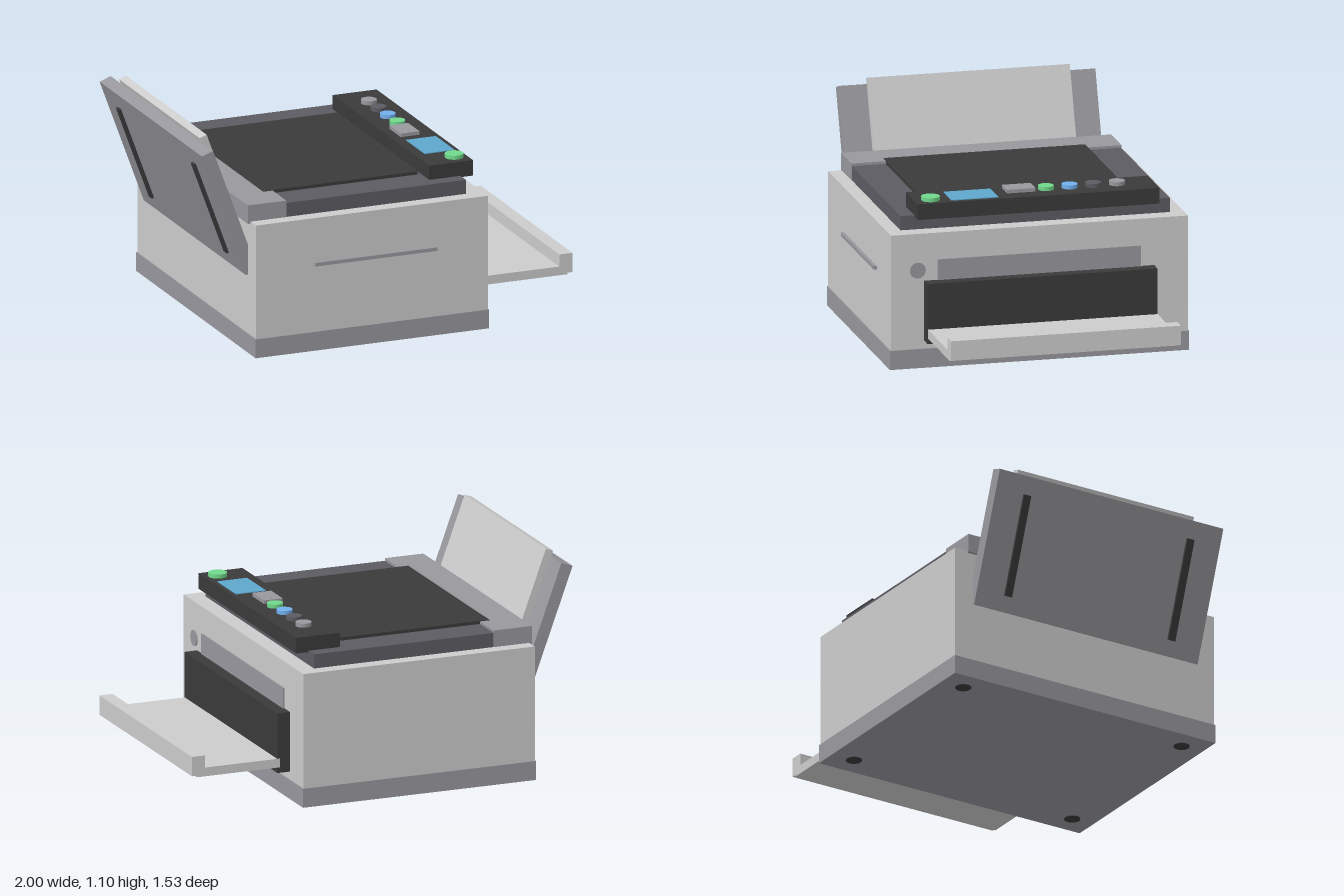
import * as THREE from 'three';

const mat = (color) => new THREE.MeshStandardMaterial({ color });

export function createModel() {
  const model = new THREE.Group();
  const light = mat(0xcccccc), mid = mat(0x97979d), lidGrey = mat(0x5c5b62);
  const black = mat(0x3a3a3a), green = mat(0x70d88a), blue = mat(0x72b0ee);
  const screenBlue = mat(0x5ea6cb);

  // Box given by its extents on each axis
  const box = (name, x0, x1, y0, y1, z0, z1, material, parent = model) => {
    const mesh = new THREE.Mesh(new THREE.BoxGeometry(x1 - x0, y1 - y0, z1 - z0), material);
    mesh.position.set((x0 + x1) / 2, (y0 + y1) / 2, (z0 + z1) / 2);
    mesh.name = name;
    parent.add(mesh);
    return mesh;
  };
  const disc = (name, x, y, z, r, h, material) => {
    const mesh = new THREE.Mesh(new THREE.CylinderGeometry(r, r, h, 32), material);
    mesh.position.set(x, y, z);
    mesh.name = name;
    model.add(mesh);
    return mesh;
  };

  // Housing
  box('base', -0.76, 0.483, 0.003, 0.1, -0.765, 0.752, mid);
  box('body', -0.755, 0.478, 0.1, 0.685, -0.76, 0.746, light);
  box('sideSlot', -0.445, 0.203, 0.44, 0.458, 0.74, 0.762, mid);
  for (const x of [-0.64, 0.36]) {
    for (const z of [-0.64, 0.63]) disc('foot', x, 0.01, z, 0.04, 0.02, black);
  }

  // Scanner lid with hinge cover and pad
  box('lid', -0.6, 0.392, 0.68, 0.757, -0.69, 0.675, lidGrey);
  box('hingeCover', -0.77, -0.565, 0.675, 0.77, -0.692, 0.677, mid);
  box('lidPad', -0.615, 0.205, 0.75, 0.773, -0.52, 0.503, black);

  // Control panel
  box('controlPanel', 0.225, 0.458, 0.75, 0.83, -0.62, 0.605, black);
  box('screen', 0.276, 0.434, 0.82, 0.834, 0.19, 0.427, screenBlue);
  box('keypad', 0.273, 0.373, 0.82, 0.848, -0.015, 0.13, mid);
  disc('startButton', 0.392, 0.838, 0.523, 0.046, 0.024, green);
  [mid, lidGrey, blue, green].forEach((m, i) => {
    disc('button', 0.34, 0.838, -0.435 + i * 0.12, 0.039, 0.024, m);
  });

  // Output end: upper door, dark mouth, L-shaped tray, power button
  box('outputDoor', 0.47, 0.485, 0.4, 0.55, -0.52, 0.51, mid);
  box('outputMouth', 0.47, 0.545, 0.14, 0.445, -0.588, 0.577, black);
  const tray = new THREE.Shape([
    [0.53, 0.168], [0.975, 0.168], [0.975, 0.176], [1, 0.176], [1, 0.275],
    [0.93, 0.275], [0.93, 0.213], [0.53, 0.213],
  ].map(([x, y]) => new THREE.Vector2(x, y)));
  const trayMesh = new THREE.Mesh(
    new THREE.ExtrudeGeometry(tray, { depth: 1.164, bevelEnabled: false }), light);
  trayMesh.position.z = -0.589;
  trayMesh.name = 'outputTray';
  model.add(trayMesh);
  disc('powerButton', 0.478, 0.5, 0.61, 0.04, 0.012, mid).rotation.z = Math.PI / 2;

  // Tilted paper feeder
  const feeder = new THREE.Group();
  feeder.name = 'paperFeeder';
  feeder.position.set(-0.765, 0.4, 0);
  feeder.rotation.z = 0.352;
  box('feederBoard', 0, 0.063, 0, 0.683, -0.656, 0.644, mid, feeder);
  box('paperStack', 0.06, 0.1, 0.1, 0.711, -0.52, 0.503, light, feeder);
  for (const z of [-0.48, 0.47]) {
    box('feederRail', -0.012, 0.005, 0.08, 0.59, z - 0.02, z + 0.02, black, feeder);
  }
  model.add(feeder);

  return model;
}
